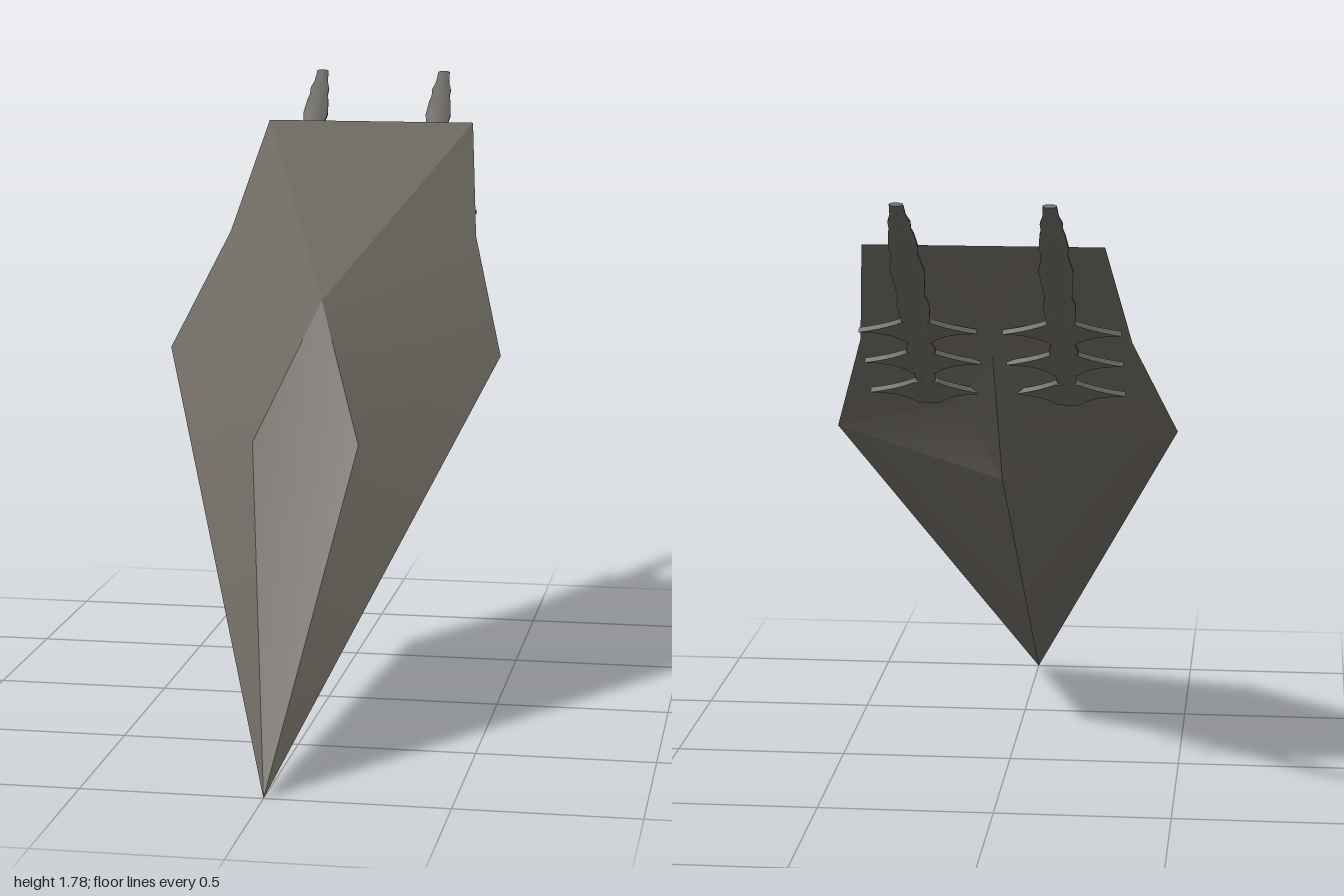
import * as THREE from 'three';
import { toCreasedNormals } from 'three/addons/utils/BufferGeometryUtils.js';

const hullGrey = new THREE.MeshStandardMaterial({ color: 0x6b675f });
hullGrey.name = 'hull grey';
const engineGrey = new THREE.MeshStandardMaterial({ color: 0x66635d });
engineGrey.name = 'engine grey';

// Hull corners on the centre line and the left side
const P = {
  nose: [0, 0, 1], canopy: [0, 0.66, 0.5], apex: [0, 1.2, 0.12], tail: [0, 1.64, -0.75],
  cheek: [0.15, 0.835, 0.385], tip: [0.49, 1.02, -0.09], shoulder: [0.375, 1.33, -0.41],
  corner: [0.32, 1.64, -0.75], keel: [0, 0.9, -0.23], recess: [0.12, 1.14, -0.29],
  ridge: [0, 1.3, -0.5],
};

// Facets of one half, outward facing; the other half is mirrored
const topFaces = [
  'apex canopy cheek', 'canopy nose cheek', 'cheek nose tip', 'apex cheek tip',
  'apex tip shoulder', 'apex shoulder corner', 'apex corner tail',
];
const bottomFaces = [
  'nose keel tip', 'keel recess tip', 'keel ridge recess', 'recess shoulder tip',
  'recess corner shoulder', 'recess ridge corner', 'ridge tail corner',
];

function hullPart(name, faces) {
  const pos = [];
  for (const face of faces) {
    const tri = face.split(' ').map((k) => P[k]);
    tri.forEach((p) => pos.push(...p));
    [tri[0], tri[2], tri[1]].forEach(([x, y, z]) => pos.push(-x, y, z));
  }
  const geo = new THREE.BufferGeometry();
  geo.setAttribute('position', new THREE.Float32BufferAttribute(pos, 3));
  const mesh = new THREE.Mesh(toCreasedNormals(geo, 0.45), hullGrey);
  mesh.name = name;
  return mesh;
}

// Swept, pointed fin reaching sideways from an engine
function finGeometry() {
  const s = new THREE.Shape();
  s.moveTo(0, -0.05);
  s.lineTo(0.03, -0.05);
  s.quadraticCurveTo(0.07, 0, 0.16, 0);
  s.quadraticCurveTo(0.08, 0.02, 0.03, 0.055);
  s.lineTo(0, 0.055);
  const geo = new THREE.ExtrudeGeometry(s, { depth: 0.016, bevelEnabled: false, curveSegments: 5 });
  return geo.translate(0, 0, -0.008);
}

function engine(x, name) {
  const group = new THREE.Group();
  group.name = name;

  // Flattened, stepped barrel
  const profile = [
    [0, 0], [0.025, 0.1], [0.042, 0.28], [0.034, 0.32], [0.046, 0.5], [0.038, 0.54],
    [0.048, 0.66], [0.036, 0.73], [0.041, 0.76], [0.035, 0.82], [0.03, 0.84],
    [0.031, 0.87], [0.022, 0.9], [0.019, 0.945], [0, 0.945],
  ].map(([r, y]) => new THREE.Vector2(r, y));
  const barrelGeo = new THREE.LatheGeometry(profile, 10).scale(1, 1, 0.32);
  const barrel = new THREE.Mesh(toCreasedNormals(barrelGeo, 0.5), engineGrey);
  barrel.name = 'engineBarrel';
  group.add(barrel);

  // Three pairs of fins
  const finGeo = finGeometry();
  for (const along of [0.07, 0.22, 0.37]) {
    for (const side of [0, Math.PI]) {
      const fin = new THREE.Mesh(finGeo, engineGrey);
      fin.name = 'engineFin';
      fin.position.y = along;
      fin.rotation.y = side;
      group.add(fin);
    }
  }

  group.position.set(x, 1.13, -0.31);
  group.rotation.x = -Math.atan2(0.69, 0.65);
  return group;
}

export function createModel() {
  const model = new THREE.Group();
  model.name = 'spacecraft';
  model.add(hullPart('upperHull', topFaces), hullPart('lowerHull', bottomFaces));
  model.add(engine(0.195, 'leftEngine'), engine(-0.195, 'rightEngine'));
  return model;
}
